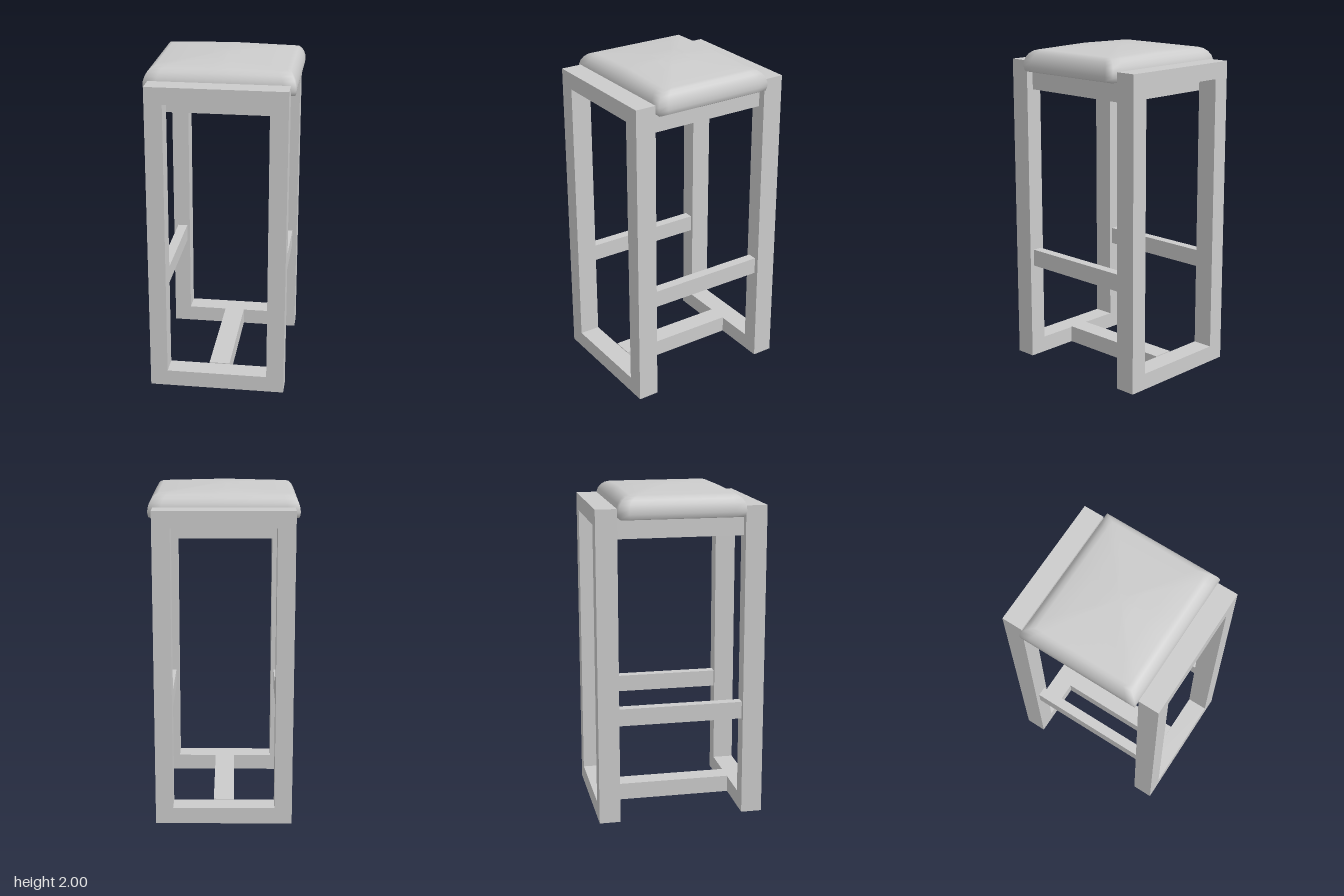
import * as THREE from 'three';

const material = new THREE.MeshStandardMaterial({ color: 0xcccccc });
const FRAME_IN = 0.378, FRAME_OUT = 0.505;

function box(name, w, h, d, x, y, z) {
  const mesh = new THREE.Mesh(new THREE.BoxGeometry(w, h, d), material);
  mesh.name = name;
  mesh.position.set(x, y, z);
  return mesh;
}

// Upright rectangular loop with one large opening
function frameGeometry() {
  const rect = (Type, a, y0, y1) => new Type([
    new THREE.Vector2(-a, y0), new THREE.Vector2(a, y0),
    new THREE.Vector2(a, y1), new THREE.Vector2(-a, y1),
  ]);
  const shape = rect(THREE.Shape, 0.41, 0, 1.9);
  shape.holes.push(rect(THREE.Path, 0.305, 0.1, 1.8));
  return new THREE.ExtrudeGeometry(shape, { depth: FRAME_OUT - FRAME_IN, bevelEnabled: false });
}

// Padded cushion: mitred rectangular rings that rise and shrink to a shallow peak
function cushionGeometry() {
  const n = 12, count = 4 * n;
  // half width, half depth, height, extra height at the middle of front and back
  const rings = [
    [0.425, 0.355, 1.836, 0], [0.435, 0.368, 1.842, 0], [0.44, 0.375, 1.868, 0],
    [0.438, 0.374, 1.895, 0], [0.43, 0.366, 1.922, 0], [0.417, 0.35, 1.946, 0.002],
    [0.4, 0.327, 1.963, 0.005], [0.38, 0.298, 1.971, 0.009],
    [0.25, 0.196, 1.981, 0.007], [0.12, 0.094, 1.991, 0.004],
  ];
  const pos = [], index = [];
  const corners = [[-1, 1], [1, 1], [1, -1], [-1, -1]];
  const addRing = ([a, b, y, lift]) => {
    for (let s = 0; s < 4; s++) {
      const p = corners[s], q = corners[(s + 1) % 4];
      for (let i = 0; i < n; i++) {
        const t = i / n;
        const u = p[0] + (q[0] - p[0]) * t, v = p[1] + (q[1] - p[1]) * t;
        pos.push(u * a, y + lift * (1 - Math.abs(u)), v * b);
      }
    }
  };
  rings.forEach(addRing);
  for (let r = 0; r < rings.length - 1; r++) {
    for (let i = 0; i < count; i++) {
      const j = (i + 1) % count, lo = r * count, hi = lo + count;
      index.push(lo + i, lo + j, hi + j, lo + i, hi + j, hi + i);
    }
  }
  // Peak
  const last = (rings.length - 1) * count, peak = pos.length / 3;
  pos.push(0, 2, 0);
  for (let i = 0; i < count; i++) index.push(last + i, last + (i + 1) % count, peak);
  // Flat underside with its own vertices
  const base = pos.length / 3;
  addRing(rings[0]);
  pos.push(0, rings[0][2], 0);
  for (let i = 0; i < count; i++) index.push(base + (i + 1) % count, base + i, base + count);

  const geometry = new THREE.BufferGeometry();
  geometry.setAttribute('position', new THREE.Float32BufferAttribute(pos, 3));
  geometry.setIndex(index);
  geometry.computeVertexNormals();
  return geometry;
}

export function createModel() {
  const stool = new THREE.Group();
  stool.name = 'barStool';

  // Front and back leg frames
  const geometry = frameGeometry();
  for (const [name, z] of [['frontFrame', FRAME_IN], ['backFrame', -FRAME_OUT]]) {
    const frame = new THREE.Mesh(geometry, material);
    frame.name = name;
    frame.position.z = z;
    stool.add(frame);
  }

  // Parts spanning between the frames
  const span = 2 * FRAME_IN;
  stool.add(box('seatBase', 0.73, 0.12, span, 0, 1.78, 0));
  stool.add(box('floorStretcher', 0.125, 0.105, span, 0, 0.0525, 0));
  for (const side of [-1, 1]) {
    stool.add(box(side > 0 ? 'leftFootRail' : 'rightFootRail', 0.06, 0.105, span, side * 0.352, 0.652, 0));
  }

  // Seat
  const cushion = new THREE.Mesh(cushionGeometry(), material);
  cushion.name = 'seatCushion';
  stool.add(cushion);

  return stool;
}
